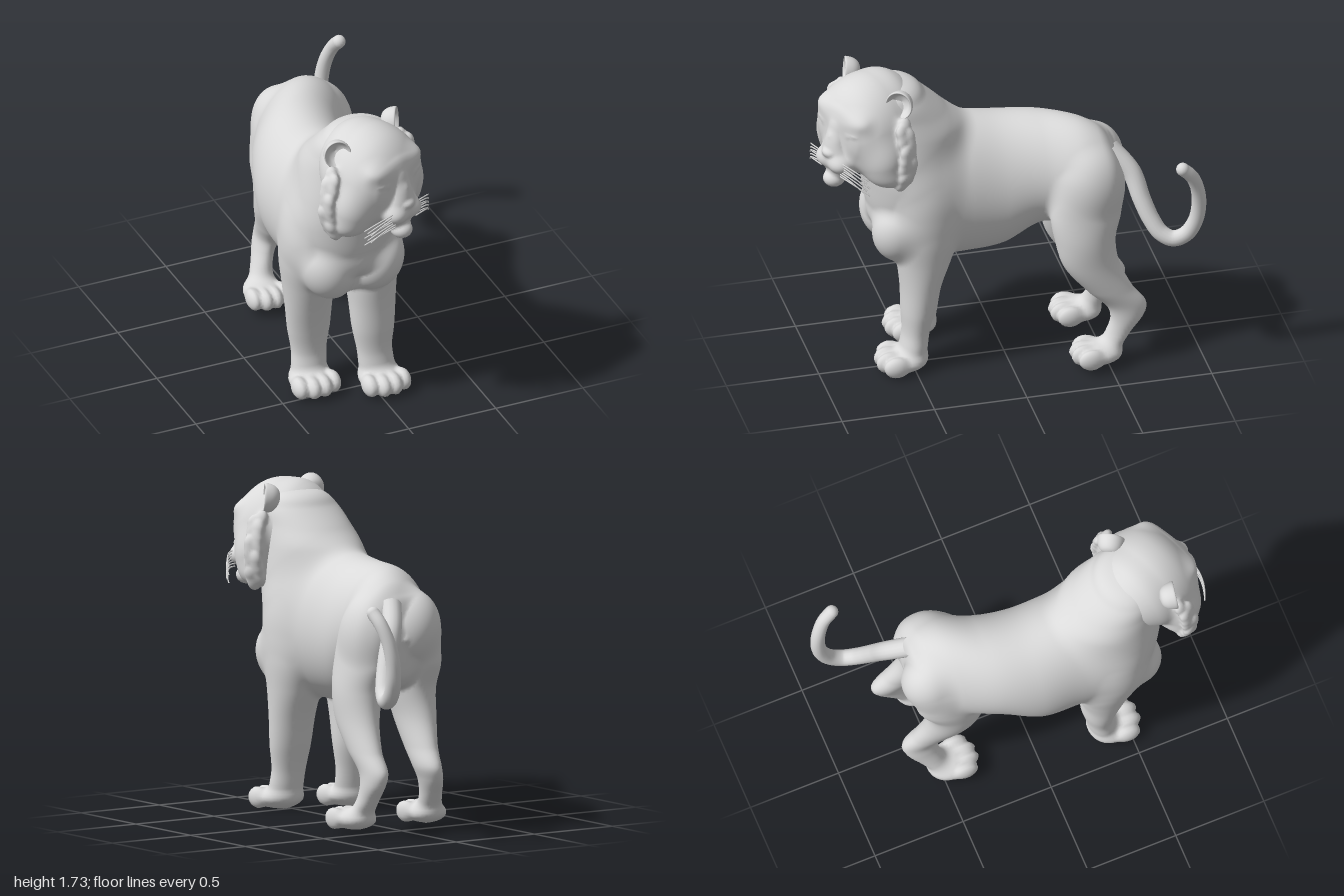
import * as THREE from 'three';

const fur = new THREE.MeshStandardMaterial({ color: 0xdadada, side: THREE.DoubleSide });
fur.name = 'grey fur';

function add(parent, name, geometry) {
  const mesh = new THREE.Mesh(geometry, fur);
  mesh.name = name;
  parent.add(mesh);
  return mesh;
}

const clamp = THREE.MathUtils.clamp;

// Approximate distance to an ellipsoid, turned by rot about z
function blob(name, k, [cx, cy, cz], [rx, ry, rz], rot = 0) {
  const c = Math.cos(rot), s = Math.sin(rot);
  return { name, k, f: (x, y, z) => {
    const px = x - cx, py = y - cy;
    const a = (px * c + py * s) / rx, b = (py * c - px * s) / ry, d = (z - cz) / rz;
    const k0 = Math.sqrt(a * a + b * b + d * d) + 1e-9;
    const k1 = Math.sqrt(a * a / (rx * rx) + b * b / (ry * ry) + d * d / (rz * rz)) + 1e-9;
    return k0 * (k0 - 1) / k1;
  } };
}

// Approximate distance to a body of elliptical sections [x, y, z, radiusX, radiusOther, taper],
// stacked along 'y' (level rings) or 'z' (upright rings)
function loft(name, k, sections, axis) {
  const along = axis === 'y' ? 1 : 2, other = 3 - along, N = 240;
  const rows = sections.map(s => [s[along], s[0], s[other], s[3], s[4], s[5] || 0]).sort((a, b) => a[0] - b[0]);
  const last = rows.length - 1, lo = rows[0][0], hi = rows[last][0], table = [];
  const slope = (i, n) => {
    const a = rows[Math.max(i - 1, 0)], b = rows[Math.min(i + 1, last)];
    return (b[n] - a[n]) / (b[0] - a[0]);
  };
  for (let j = 0, i = 0; j <= N + 1; j++) {
    const c = lo + (hi - lo) * Math.min(j / N, 1);
    while (i < last - 1 && c > rows[i + 1][0]) i++;
    const w = rows[i + 1][0] - rows[i][0], t = (c - rows[i][0]) / w, t2 = t * t, t3 = t2 * t;
    table.push([1, 2, 3, 4, 5].map(n => (2 * t3 - 3 * t2 + 1) * rows[i][n] + (3 * t2 - 2 * t3) * rows[i + 1][n]
      + w * ((t3 - 2 * t2 + t) * slope(i, n) + (t3 - t2) * slope(i + 1, n))));
  }
  return { name, k, f: (x, y, z) => {
    const c = along === 1 ? y : z, cc = clamp(c, lo, hi);
    const t = (cc - lo) / (hi - lo) * N, i = Math.floor(t), p = table[i], q = table[i + 1], m = t - i;
    const ro = Math.max(p[3] + (q[3] - p[3]) * m, 0.002);
    const b = ((along === 1 ? z : y) - p[1] - (q[1] - p[1]) * m) / ro;
    const rx = Math.max(p[2] + (q[2] - p[2]) * m, 0.002) * (1 - (p[4] + (q[4] - p[4]) * m) * clamp(b, -1, 1));
    const a = (x - p[0] - (q[0] - p[0]) * m) / rx;
    const k0 = Math.sqrt(a * a + b * b) + 1e-9;
    const d = k0 * (k0 - 1) / (Math.sqrt(a * a / (rx * rx) + b * b / (ro * ro)) + 1e-9);
    return c === cc ? d : Math.max(d, 0) + Math.abs(c - cc);
  } };
}

// One smooth skin over all parts, each blended with radius k; faces are sorted into a mesh per part name
function skin(parent, parts, min, max, h) {
  const field = (x, y, z) => parts.reduce((d, part) => {
    const e = part.f(x, y, z), m = Math.max(part.k - Math.abs(d - e), 0);
    return Math.min(d, e) - m * m / (4 * part.k);
  }, 1000);
  const n = min.map((v, a) => Math.ceil((max[a] - v) / h) + 1);
  const stride = [1, n[0], n[0] * n[1]], value = new Float32Array(n[0] * n[1] * n[2]);
  const cellVertex = new Int32Array(value.length), pos = [], normal = [], groups = new Map();
  const eachPoint = (edge, visit) => {
    for (let k = 0; k < n[2] - edge; k++) for (let j = 0; j < n[1] - edge; j++) for (let i = 0; i < n[0] - edge; i++)
      visit(i + j * stride[1] + k * stride[2], i, j, k);
  };
  eachPoint(0, (p, i, j, k) => { value[p] = field(min[0] + i * h, min[1] + j * h, min[2] + k * h); });
  // A vertex in each cell that the surface crosses
  const corner = c => (c & 1) + (c >> 1 & 1) * stride[1] + (c >> 2) * stride[2];
  eachPoint(1, (p, ...cell) => {
    const sum = [0, 0, 0];
    let hits = 0;
    for (let c = 0; c < 8; c++) for (let a = 0; a < 3; a++) {
      if (c >> a & 1) continue;
      const u = value[p + corner(c)], v = value[p + corner(c | 1 << a)];
      if ((u < 0) === (v < 0)) continue;
      hits++;
      for (let b = 0; b < 3; b++) sum[b] += b === a ? u / (u - v) : c >> b & 1;
    }
    if (!hits) return;
    cellVertex[p] = pos.length / 3;
    const [x, y, z] = sum.map((s, b) => min[b] + (cell[b] + s / hits) * h), e = h * 0.5;
    pos.push(x, y, z);
    normal.push(...new THREE.Vector3(field(x + e, y, z) - field(x - e, y, z),
      field(x, y + e, z) - field(x, y - e, z), field(x, y, z + e) - field(x, y, z - e)).normalize().toArray());
  });
  // A quad around each crossed grid edge
  eachPoint(1, p => {
    for (let a = 0; a < 3; a++) {
      const inside = value[p] < 0, b = stride[(a + 1) % 3], c = stride[(a + 2) % 3];
      if (inside === value[p + stride[a]] < 0) continue;
      const q = [p - b - c, p - c, p, p - b].map(i => cellVertex[i]);
      if (!inside) q.reverse();
      const at = pos.slice(q[0] * 3, q[0] * 3 + 3);
      const near = parts.reduce((best, part) => part.f(...at) < best.f(...at) ? part : best);
      if (!groups.has(near.name)) groups.set(near.name, []);
      groups.get(near.name).push(q[0], q[1], q[2], q[0], q[2], q[3]);
    }
  });
  groups.forEach((index, name) => {
    const g = new THREE.BufferGeometry();
    g.setAttribute('position', new THREE.Float32BufferAttribute(pos, 3));
    g.setAttribute('normal', new THREE.Float32BufferAttribute(normal, 3));
    g.setIndex(index);
    add(parent, name, g.toNonIndexed());
  });
}

// Paw with four rounded toes
function pawParts(name, x, y, z, w) {
  const parts = [blob(name, 0.035, [x, y + 0.06, z + 0.01], [w * 0.88, 0.058, 0.12])];
  for (let i = 0; i < 4; i++) {
    const o = (i - 1.5) / 1.5;
    parts.push(blob(name, 0.016, [x + o * w * 0.69, y + 0.06, z + 0.1 - 0.03 * o * o], [w * 0.31, 0.058, 0.07]));
  }
  return parts;
}

function buildHead() {
  const head = new THREE.Group();
  head.name = 'head';
  head.position.set(-0.1, 1.45, 0.69);
  head.rotation.y = 0.42;
  const parts = [
    loft('skull', 0.03, [
      [0, 0.05, -0.25, 0, 0], [0, 0.05, -0.22, 0.12, 0.12], [0, 0.03, -0.12, 0.23, 0.235, 0.04],
      [0, 0, 0, 0.27, 0.283, 0.06], [0, 0, 0.08, 0.268, 0.273, 0.06], [0, 0.005, 0.15, 0.245, 0.235, 0.05],
      [0, 0.01, 0.21, 0.19, 0.17], [0, 0.01, 0.24, 0.12, 0.11], [0, 0.01, 0.25, 0, 0]], 'z'),
    blob('noseBridge', 0.06, [0, 0.0, 0.215], [0.07, 0.13, 0.055]),
    blob('noseBridge', 0.05, [0, -0.06, 0.25], [0.055, 0.065, 0.042]),
    blob('muzzle', 0.05, [0, -0.135, 0.21], [0.125, 0.085, 0.09])];
  for (const s of [-1, 1]) {
    parts.push(
      blob('brow', 0.06, [s * 0.11, 0.105, 0.185], [0.08, 0.04, 0.05], s * 0.2),
      blob('closedEyelid', 0.012, [s * 0.12, 0.047, 0.212], [0.046, 0.015, 0.028], s * 0.15),
      blob('cheek', 0.06, [s * 0.18, -0.11, 0.07], [0.13, 0.14, 0.115]),
      blob('jowl', 0.05, [s * 0.2, -0.2, 0.04], [0.11, 0.075, 0.1]),
      blob('cheekRuff', 0.04, [s * 0.265, -0.07, 0], [0.06, 0.19, 0.04]),
      blob('whiskerPad', 0.02, [s * 0.052, -0.143, 0.25], [0.066, 0.052, 0.06]));
    // Shaggy fringe running down behind the cheek
    for (let i = 0; i < 14; i++) {
      const t = i / 13;
      parts.push(blob('cheekRuff', 0.018,
        [s * (0.245 + 0.08 * Math.sin(0.4 + t * 2.2) + 0.006 * (i % 3)), 0.1 - 0.35 * t, 0.005 + (i % 2 ? 0.024 : -0.016)],
        [0.024, 0.042, 0.032], s * (0.35 - t * 0.9)));
    }
  }
  parts.push(
    blob('nose', 0.012, [0, -0.085, 0.285], [0.042, 0.026, 0.032]),
    blob('chin', 0.02, [0, -0.21, 0.2], [0.08, 0.05, 0.08]),
    blob('tongue', 0.012, [-0.005, -0.255, 0.245], [0.058, 0.048, 0.06]));
  skin(head, parts, [-0.42, -0.35, -0.29], [0.42, 0.33, 0.36], 0.0115);

  const earCurve = new THREE.SplineCurve([[0, -0.045], [0.045, -0.035], [0.07, -0.01], [0.08, 0.025],
    [0.075, 0.035], [0.064, 0.022], [0.045, -0.005], [0, -0.02]].map(p => new THREE.Vector2(...p))).getPoints(28);
  earCurve.forEach(p => { p.x = Math.max(p.x, 0); });
  for (const s of [-1, 1]) {
    // Cupped ear opening forward and outward
    const ear = add(head, 'ear', new THREE.LatheGeometry(earCurve, 28).rotateX(Math.PI / 2));
    ear.position.set(s * 0.21, 0.195, -0.03);
    ear.rotation.set(-0.1, s * 0.6, 0);
    ear.scale.set(0.92, 1.0, 1.1);
    // Whiskers droop out and back from the pads
    for (let i = 0; i < 7; i++) {
      const v = -0.12 - i * 0.014;
      add(head, 'whisker', new THREE.TubeGeometry(new THREE.QuadraticBezierCurve3(
        new THREE.Vector3(s * 0.08, v, 0.27), new THREE.Vector3(s * 0.17, v + 0.012, 0.28),
        new THREE.Vector3(s * (0.25 - 0.012 * (i % 3)), v - 0.06, 0.205 + 0.012 * (i % 3))), 8, 0.004, 5));
    }
  }
  return head;
}

function buildTail() {
  const path = new THREE.CatmullRomCurve3([
    [0.1, 1.22, -0.55], [0.165, 1.1, -0.648], [0.225, 0.96, -0.69], [0.27, 0.855, -0.73],
    [0.305, 0.785, -0.775], [0.332, 0.758, -0.835], [0.35, 0.79, -0.9], [0.364, 0.87, -0.945], [0.378, 0.98, -0.961],
    [0.397, 1.09, -0.947], [0.42, 1.18, -0.91], [0.432, 1.235, -0.86]].map(p => new THREE.Vector3(...p)));
  const n = 70, m = 16, g = new THREE.TubeGeometry(path, n, 0.054, m);
  // Taper each ring towards the path
  const pos = g.attributes.position, v = new THREE.Vector3();
  for (let i = 0; i < pos.count; i++) {
    const t = Math.floor(i / (m + 1)) / n;
    v.fromBufferAttribute(pos, i).lerp(path.getPointAt(t), 0.34 * Math.min(1, t * 1.1));
    pos.setXYZ(i, v.x, v.y, v.z);
  }
  const tail = new THREE.Group();
  tail.name = 'tail';
  add(tail, 'tailLength', g);
  add(tail, 'tailTip', new THREE.SphereGeometry(0.0356, 16, 12)).position.set(0.432, 1.235, -0.86);
  return tail;
}

export function createModel() {
  const model = new THREE.Group();
  model.name = 'bigCat';
  const parts = [
    loft('torso', 0.05, [
      [0.05, 1.03, -0.6, 0, 0], [0.05, 1.035, -0.585, 0.12, 0.16], [0.05, 1.035, -0.55, 0.195, 0.235],
      [0.04, 1.045, -0.49, 0.238, 0.285, 0.08], [0, 1.06, -0.38, 0.272, 0.31, 0.1],
      [-0.09, 1.065, -0.2, 0.272, 0.31, 0.06], [-0.135, 1.0, 0, 0.288, 0.375, 0.04],
      [-0.14, 1.0, 0.2, 0.29, 0.4, 0.04], [-0.14, 1.01, 0.35, 0.3, 0.405, 0.06],
      [-0.14, 0.99, 0.48, 0.295, 0.375, 0.06], [-0.14, 0.95, 0.57, 0.25, 0.29],
      [-0.14, 0.91, 0.62, 0.17, 0.2], [-0.14, 0.9, 0.645, 0, 0]], 'z'),
    // Haunches, the right one set further back
    blob('haunch', 0.05, [-0.065, 1.08, -0.49], [0.155, 0.2, 0.17]),
    blob('haunch', 0.05, [0.17, 1.05, -0.45], [0.13, 0.2, 0.16]),
    loft('neck', 0.08, [
      [-0.1, 1.7, 0.6, 0, 0], [-0.1, 1.67, 0.59, 0.13, 0.12], [-0.11, 1.6, 0.57, 0.195, 0.172],
      [-0.12, 1.5, 0.525, 0.225, 0.23], [-0.125, 1.4, 0.485, 0.25, 0.275], [-0.13, 1.25, 0.48, 0.275, 0.275],
      [-0.135, 1.1, 0.465, 0.295, 0.27], [-0.14, 0.95, 0.45, 0.28, 0.26], [-0.14, 0.8, 0.44, 0.22, 0.22],
      [-0.14, 0.72, 0.44, 0, 0]], 'y')];
  for (const s of [-1, 1])
    parts.push(blob('chestMuscle', 0.04, [-0.13 + s * 0.14, 0.82, 0.555], [0.145, 0.18, 0.155], s * -0.35));

  // Limb sections are written for the left side, x measured from the body's middle line
  const front = [
    [0.16, 1.24, 0.4, 0, 0], [0.165, 1.18, 0.41, 0.08, 0.09], [0.175, 1.08, 0.42, 0.125, 0.14],
    [0.18, 0.95, 0.43, 0.143, 0.175], [0.18, 0.8, 0.43, 0.143, 0.178], [0.17, 0.65, 0.44, 0.14, 0.145],
    [0.17, 0.5, 0.458, 0.128, 0.11], [0.17, 0.35, 0.473, 0.117, 0.09], [0.172, 0.22, 0.485, 0.098, 0.073],
    [0.178, 0.12, 0.5, 0.097, 0.075], [0.18, 0.05, 0.51, 0.09, 0.07], [0.18, 0.015, 0.51, 0, 0]];
  const hind = [
    [0.08, 1.26, -0.42, 0, 0], [0.085, 1.2, -0.42, 0.09, 0.1], [0.105, 1.1, -0.415, 0.13, 0.17],
    [0.14, 0.9, -0.4, 0.125, 0.19], [0.165, 0.75, -0.39, 0.118, 0.162], [0.185, 0.6, -0.42, 0.097, 0.148],
    [0.205, 0.45, -0.515, 0.072, 0.122], [0.21, 0.35, -0.6, 0.06, 0.108], [0.215, 0.28, -0.603, 0.055, 0.09],
    [0.215, 0.2, -0.56, 0.056, 0.07], [0.22, 0.12, -0.51, 0.066, 0.062], [0.22, 0.06, -0.49, 0.072, 0.052],
    [0.22, 0.04, -0.48, 0, 0]];
  // The right foreleg steps back and inward towards the ground
  const step = y => clamp((0.95 - y) / 0.65, 0, 1);
  // The right hind leg spreads at the thigh and turns in at the hock
  const bump = (y, at, width) => Math.exp(-(((y - at) / width) ** 2));
  const bow = y => 0.06 * bump(y, 0.36, 0.16) - 0.035 * bump(y, 0.98, 0.2);
  const limbs = [
    ['leftFront', front, (x, y, z) => [-0.14 + x, y, z], [0.185, 0.003, 0.54, 0.135]],
    ['rightFront', front, (x, y, z) => [-0.145 - x + 0.03 * step(y), y, z - 0.13 * step(y)], [0.185, 0.003, 0.54, 0.135]],
    ['leftHind', hind, (x, y, z) => [0.04 + x, y, z], [0.228, 0.028, -0.46, 0.12]],
    ['rightHind', hind, (x, y, z) => [0.04 - x + bow(y), y, z - 0.03 * bump(y, 1, 0.15) + 0.025 * bump(y, 0.33, 0.15)],
      [0.228, 0.028, -0.46, 0.12]]];
  for (const [name, sections, place, paw] of limbs) {
    parts.push(loft(name + 'Leg', 0.035, sections.map(s => [...place(s[0], s[1], s[2]), s[3], s[4]]), 'y'),
      ...pawParts(name + 'Paw', ...place(paw[0], paw[1], paw[2]), paw[3]));
  }
  skin(model, parts, [-0.52, -0.04, -0.76], [0.44, 1.75, 0.8], 0.0155);

  model.add(buildHead(), buildTail());
  return model;
}
